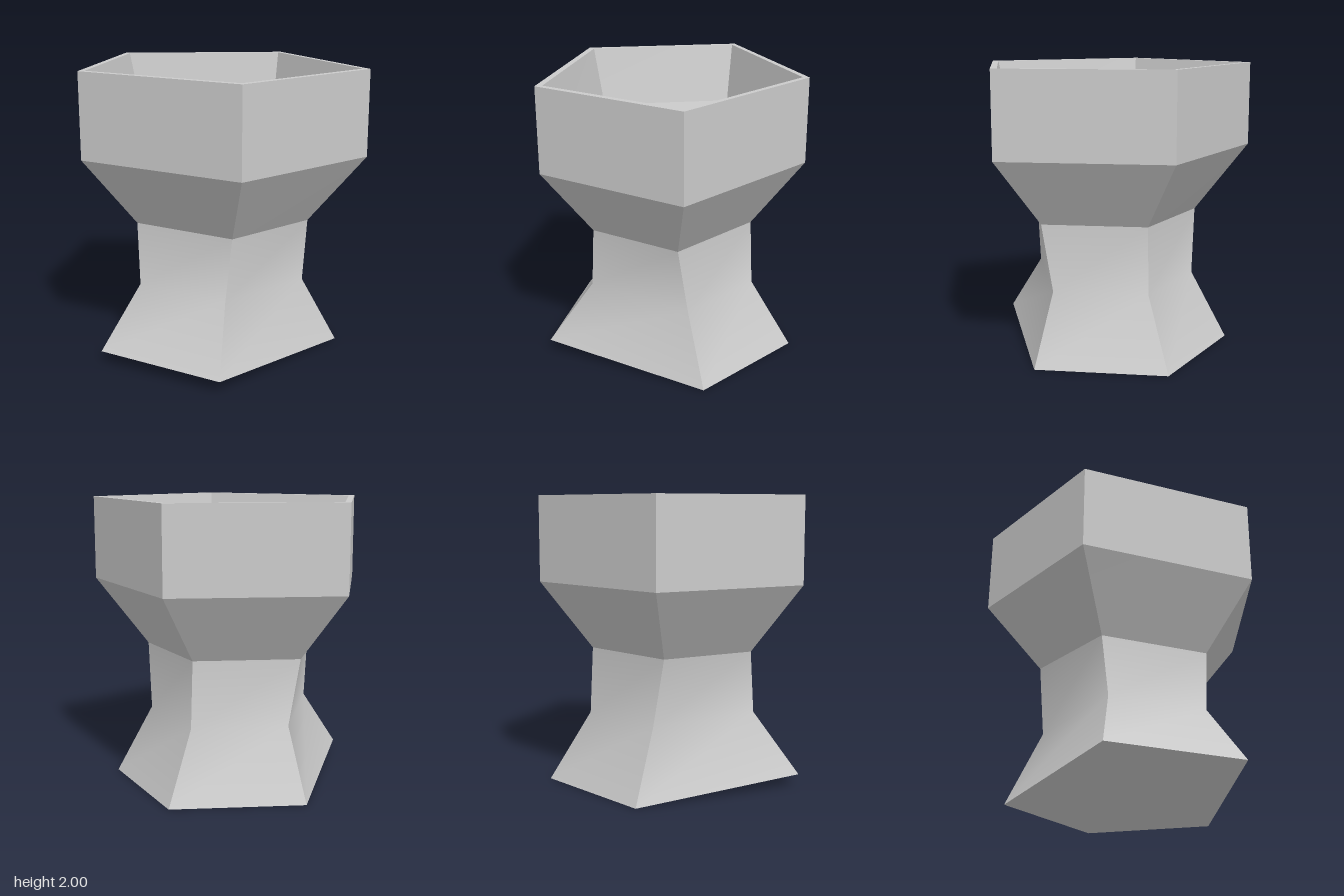
import * as THREE from 'three';
import { mergeGeometries } from 'three/addons/utils/BufferGeometryUtils.js';

// Five-cornered rings as [x, y, z], starting at the back corner and running past +x to the front
const at = (y, corners) => corners.map(([x, z]) => [x, y, z]);
const point = (x, y, z) => Array(5).fill([x, y, z]);

const outer = [[0.035, -0.88], [0.98, -0.185], [0.54, 0.84], [-0.67, 0.78], [-0.985, -0.285]];
const inner = [[0.035, -0.835], [0.93, -0.18], [0.515, 0.795], [-0.64, 0.74], [-0.94, -0.27]];
const floor = [[0.035, -0.75], [0.83, -0.165], [0.46, 0.71], [-0.57, 0.655], [-0.835, -0.25]];
const neck = at(0.94, [[0.015, -0.52], [0.6, -0.09], [0.33, 0.545], [-0.42, 0.505], [-0.615, -0.15]]);
const waist = [[0.02, 0.475, -0.54], [0.545, 0.475, -0.15], [0.295, 0.51, 0.575], [-0.385, 0.51, 0.54], [-0.555, 0.48, -0.21]];
const base = [[0.04, 0, -0.83], [0.76, 0, -0.29], [0.405, 0.085, 0.875], [-0.535, 0.085, 0.825], [-0.755, 0, -0.37]];

// Skins a run of rings: smooth along each side, sharp at the five corners
function loft(rings) {
  const sides = [];
  for (let i = 0; i < 5; i++) {
    const j = (i + 1) % 5;
    const positions = [];
    const index = [];
    rings.forEach((ring, r) => {
      positions.push(...ring[i], ...ring[j]);
      if (r > 0) {
        const a = 2 * r - 2;
        index.push(a, a + 2, a + 1, a + 2, a + 3, a + 1);
      }
    });
    const side = new THREE.BufferGeometry();
    side.setAttribute('position', new THREE.Float32BufferAttribute(positions, 3));
    side.setIndex(index);
    side.computeVertexNormals();
    sides.push(side);
  }
  return mergeGeometries(sides);
}

export function createModel() {
  const group = new THREE.Group();
  group.name = 'pentagonalGoblet';
  const material = new THREE.MeshStandardMaterial({ color: 0xcccccc, side: THREE.DoubleSide });

  const parts = {
    // Hollow underside rising to a point
    baseUnderside: [point(-0.02, 0.43, 0.04), base],
    // Flared foot and stem, bending softly at the waist
    stem: [base, waist, neck],
    bowlUnderside: [neck, at(1.41, outer)],
    bowlWall: [at(1.41, outer), at(2, outer)],
    rim: [at(2, outer), at(2, inner)],
    bowlInside: [at(2, inner), at(1.59, floor)],
    bowlFloor: [at(1.59, floor), point(-0.02, 1.59, 0.05)],
  };
  for (const [name, rings] of Object.entries(parts)) {
    const mesh = new THREE.Mesh(loft(rings), material);
    mesh.name = name;
    group.add(mesh);
  }
  return group;
}
